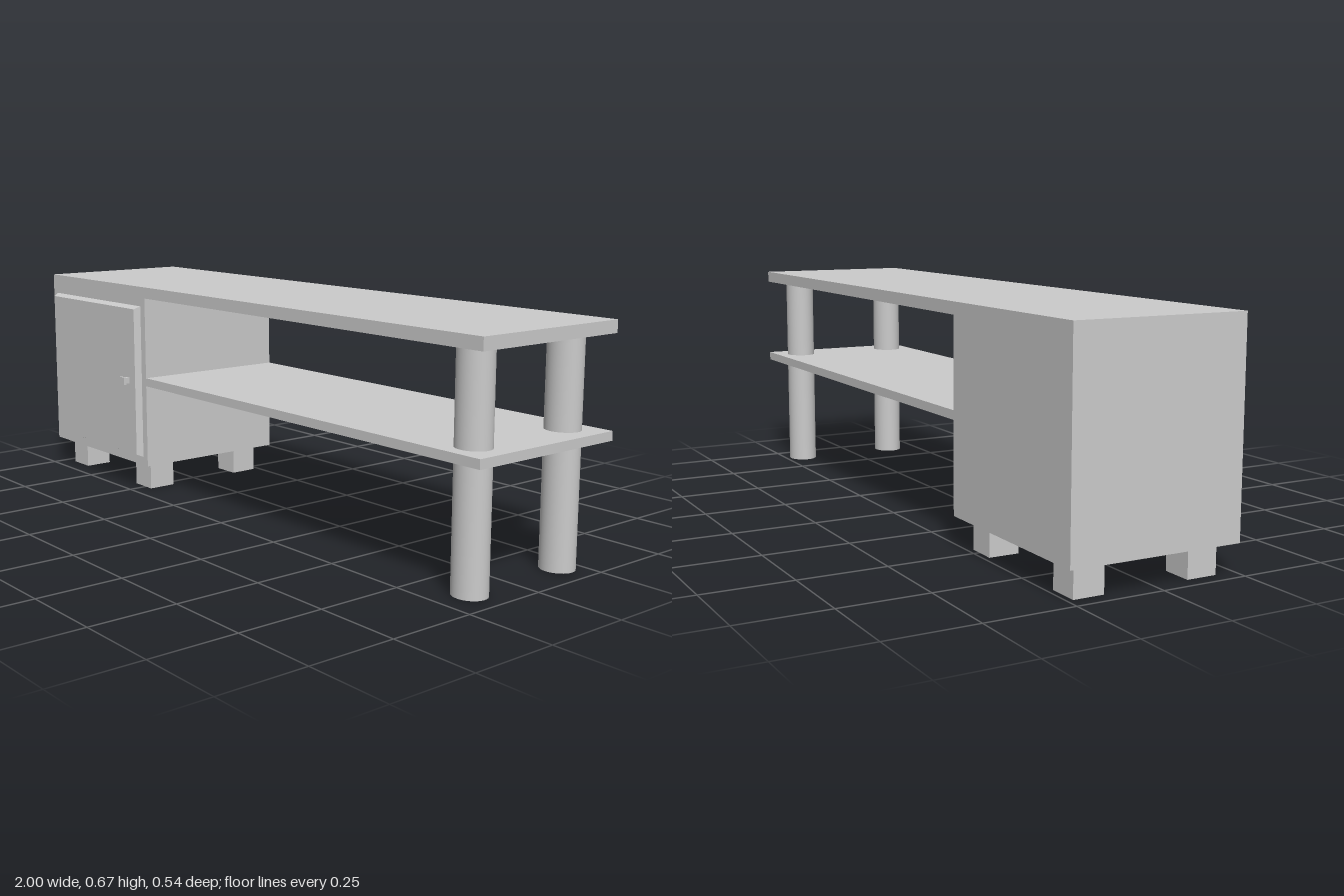
import * as THREE from 'three';

const material = new THREE.MeshStandardMaterial({ color: 0xcccccc });

export function createModel() {
  const group = new THREE.Group();
  const add = (name, geometry, x = 0, y = 0, z = 0) => {
    const mesh = new THREE.Mesh(geometry, material);
    mesh.name = name;
    mesh.position.set(x, y, z);
    group.add(mesh);
    return mesh;
  };
  // Box given by its minimum and maximum corners
  const addBox = (name, [x0, y0, z0], [x1, y1, z1]) =>
    add(name, new THREE.BoxGeometry(x1 - x0, y1 - y0, z1 - z0),
      (x0 + x1) / 2, (y0 + y1) / 2, (z0 + z1) / 2);

  const back = -0.27, front = 0.229;
  const legRows = [0.147, -0.189];

  // Cabinet and table top as one flush body
  const outline = new THREE.Shape([
    [-1, 0.088], [-0.425, 0.088], [-0.425, 0.63], [1, 0.63], [1, 0.665], [-1, 0.665],
  ].map(([x, y]) => new THREE.Vector2(x, y)));
  add('cabinetAndTop',
    new THREE.ExtrudeGeometry(outline, { depth: front - back, bevelEnabled: false }), 0, 0, back);

  // Middle shelf
  addBox('shelf', [-0.425, 0.35, back], [1, 0.376, front]);

  // Oval columns on the open side and block feet under the cabinet
  for (const z of legRows) {
    const column = add('column', new THREE.CylinderGeometry(1, 1, 0.63, 32), 0.903, 0.315, z);
    column.scale.set(0.051, 1, 0.0455);
    for (const x of [-0.913, -0.511]) {
      addBox('foot', [x - 0.044, 0, z - 0.044], [x + 0.044, 0.088, z + 0.044]);
    }
  }

  // Door panel with edges sloping in towards its face
  const door = new THREE.BoxGeometry(0.523, 0.488, 0.02);
  const p = door.attributes.position;
  for (let i = 0; i < p.count; i++) {
    if (p.getZ(i) > 0) p.setXY(i, p.getX(i) * 0.966, p.getY(i) * 0.964);
  }
  door.computeVertexNormals();
  add('door', door, -0.711, 0.359, front + 0.01);

  // Square knob on a slimmer stem
  addBox('knobStem', [-0.509, 0.353, 0.245], [-0.491, 0.371, 0.264]);
  addBox('knob', [-0.513, 0.35, 0.264], [-0.487, 0.374, 0.272]);

  return group;
}
